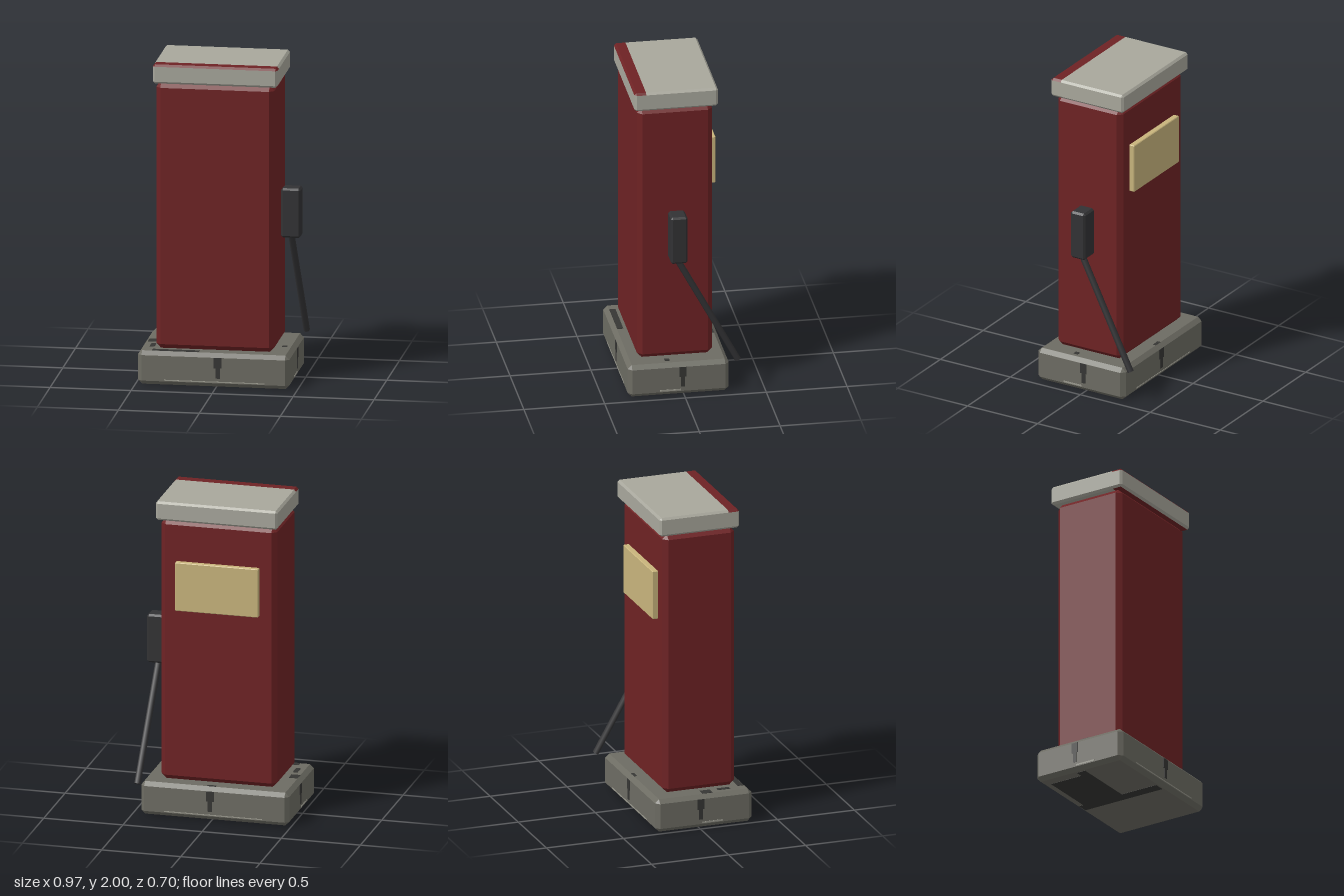
import * as THREE from 'three';
import { ConvexGeometry } from 'three/addons/geometries/ConvexGeometry.js';

const mat = (name, color) => new THREE.MeshStandardMaterial({ name, color });

// Corner points of a box with chamfered edges, given as [min, max] per axis
function chamferPoints(x, y, z, b) {
  const pts = [];
  for (const i of [0, 1]) for (const j of [0, 1]) for (const k of [0, 1]) {
    const px = x[i], py = y[j], pz = z[k];
    const ix = px + (i ? -b : b), iy = py + (j ? -b : b), iz = pz + (k ? -b : b);
    pts.push(new THREE.Vector3(px, iy, iz), new THREE.Vector3(ix, py, iz), new THREE.Vector3(ix, iy, pz));
  }
  return pts;
}

export function createModel() {
  const group = new THREE.Group();
  const red = mat('red paint', 0x6e2224);
  const grey = mat('pale grey', 0xa8a79c);
  const concrete = mat('concrete', 0x6d6c63);
  const stain = mat('dark stain', 0x363634);
  const chip = mat('light chip', 0x9a998e);
  const rubber = mat('black rubber', 0x323234);
  const cream = mat('cream panel', 0xc8b47c);

  const add = (name, geo, material) => {
    const m = new THREE.Mesh(geo, material);
    m.name = name;
    group.add(m);
    return m;
  };
  const block = (name, x, y, z, b, material) =>
    add(name, new ConvexGeometry(chamferPoints(x, y, z, b)), material);
  const plate = (name, x, y, z, material) => {
    const g = new THREE.BoxGeometry(x[1] - x[0], y[1] - y[0], z[1] - z[0]);
    g.translate((x[0] + x[1]) / 2, (y[0] + y[1]) / 2, (z[0] + z[1]) / 2);
    return add(name, g, material);
  };

  // Main masses
  block('base', [-0.485, 0.45], [0, 0.21], [-0.28, 0.345], 0.025, concrete);
  block('body', [-0.385, 0.345], [0.21, 1.88], [-0.195, 0.27], 0.03, red);
  block('displayPanel', [-0.28, 0.245], [1.31, 1.62], [-0.23, -0.19], 0.004, cream);
  block('nozzleHolder', [0.36, 0.48], [0.89, 1.2], [-0.018, 0.085], 0.012, rubber);

  // Cap, cut into a grey rear part and a front part with red top and underside
  const cut = 0.22;
  const capPoints = () => chamferPoints([-0.4, 0.37], [1.88, 2], [-0.225, 0.292], 0.013);
  const clampZ = (lo, hi) => capPoints().map(p => p.setZ(THREE.MathUtils.clamp(p.z, lo, hi)));
  add('capRear', new ConvexGeometry(clampZ(-1, cut)), grey);
  const front = new ConvexGeometry(clampZ(cut, 1));
  const normals = front.attributes.normal;
  for (let i = 0; i < normals.count; i += 3) {
    const ny = normals.getY(i);
    front.addGroup(i, 3, ny > 0.3 || ny < -0.9 ? 1 : 0);
  }
  add('capFront', front, [grey, red]);

  // Hose slanting down and back from the holder
  const a = new THREE.Vector3(0.418, 0.9, 0.04), b = new THREE.Vector3(0.454, 0.213, -0.332);
  const dir = b.clone().sub(a);
  const hose = add('hose', new THREE.CylinderGeometry(0.02, 0.02, dir.length(), 6), rubber);
  hose.position.copy(a).add(b).multiplyScalar(0.5);
  hose.quaternion.setFromUnitVectors(new THREE.Vector3(0, 1, 0), dir.normalize());

  // Stains running down the middle of each side of the base
  const t = 0.002;
  for (const z of [-0.28, 0.345]) {
    plate('baseStreak', [-0.015, 0.035], [0.12, 0.185], [z - t, z + t], stain);
    plate('baseStreakTip', [-0.003, 0.025], [0.055, 0.12], [z - t, z + t], stain);
    plate('baseScratch', [-0.32, 0.3], [0.03, 0.036], [z - t, z + t], chip);
  }
  for (const x of [-0.485, 0.45]) {
    plate('baseStreak', [x - t, x + t], [0.12, 0.185], [-0.015, 0.03], stain);
    plate('baseStreakTip', [x - t, x + t], [0.055, 0.12], [-0.005, 0.02], stain);
    plate('baseScratch', [x - t, x + t], [0.03, 0.04], [0.02, 0.15], chip);
  }

  // Stains on the top and underside of the base
  const top = [0.208, 0.212], under = [-0.001, 0.002];
  plate('topStain', [-0.4, -0.11], top, [0.28, 0.318], stain);
  plate('topStain', [-0.46, -0.405], top, [0.03, 0.095], stain);
  plate('topStain', [-0.43, -0.4], top, [0.14, 0.22], stain);
  plate('topStain', [-0.02, 0.035], top, [-0.255, -0.235], stain);
  plate('topStain', [0.37, 0.4], top, [0.08, 0.11], stain);
  plate('underStain', [-0.04, 0.03], under, [-0.25, 0.31], stain);
  plate('underStain', [-0.45, -0.04], under, [0, 0.06], stain);
  plate('underStain', [-0.4, -0.04], under, [-0.22, 0], stain);

  return group;
}
